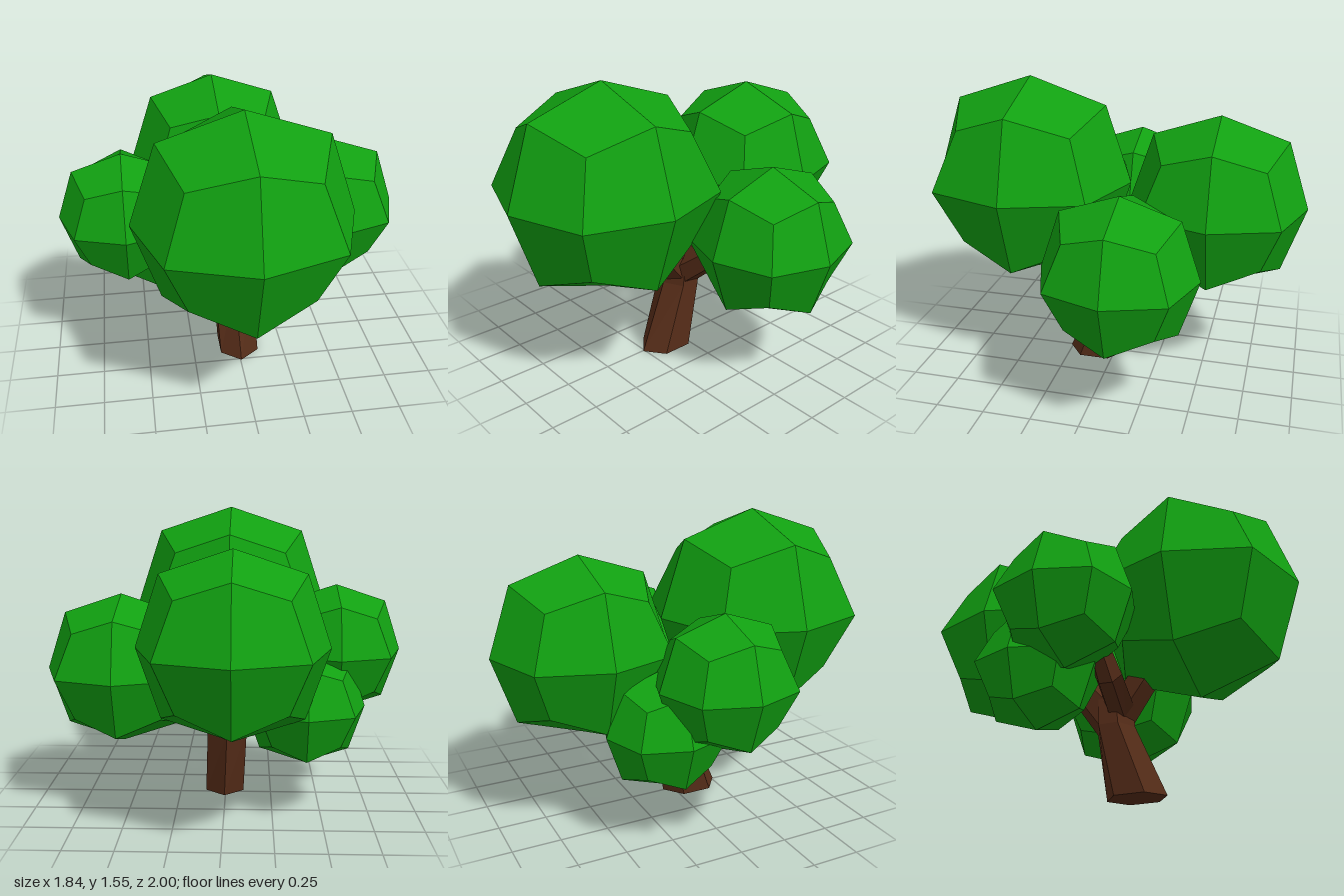
import * as THREE from 'three';

const V = (x, y, z) => new THREE.Vector3(x, y, z);

// Once-subdivided cube: 24 quads, each with one flat normal
function crownGeometry(r) {
  const pos = [], nor = [];
  const corner = 5 / 9, edge = 0.75;
  for (let axis = 0; axis < 3; axis++) {
    for (const s of [1, -1]) for (const u of [1, -1]) for (const v of [1, -1]) {
      const point = (a, b, c) => {
        const p = V();
        p.setComponent(axis, a * s * r);
        p.setComponent((axis + 1) % 3, b * u * r);
        p.setComponent((axis + 2) % 3, c * v * r);
        return p;
      };
      const quad = [point(1, 0, 0), point(edge, edge, 0), point(corner, corner, corner), point(edge, 0, edge)];
      if (s * u * v < 0) quad.reverse();
      // keep the fold running from the face centre to the cube corner
      if (s * u * v < 0) quad.unshift(quad.pop());
      const n = quad[2].clone().sub(quad[0]).cross(quad[3].clone().sub(quad[1])).normalize();
      for (const i of [0, 1, 2, 0, 2, 3]) {
        pos.push(...quad[i].toArray());
        nor.push(...n.toArray());
      }
    }
  }
  const g = new THREE.BufferGeometry();
  g.setAttribute('position', new THREE.Float32BufferAttribute(pos, 3));
  g.setAttribute('normal', new THREE.Float32BufferAttribute(nor, 3));
  return g;
}

// Six-sided limb through rings of [centre, radius x, radius z, direction]
function limbGeometry(rings) {
  const sides = 6, pos = [];
  const loops = rings.map(([c, rx, rz, dir]) => {
    const q = new THREE.Quaternion().setFromUnitVectors(V(0, 1, 0), dir.clone().normalize());
    return Array.from({ length: sides }, (_, i) => {
      const a = (i / sides) * Math.PI * 2;
      return V(Math.sin(a) * rx, 0, Math.cos(a) * rz).applyQuaternion(q).add(c);
    });
  });
  const tri = (a, b, c) => pos.push(...a.toArray(), ...b.toArray(), ...c.toArray());
  const last = loops.length - 1;
  for (let i = 0; i < sides; i++) {
    const j = (i + 1) % sides;
    for (let k = 0; k < last; k++) {
      tri(loops[k][i], loops[k][j], loops[k + 1][j]);
      tri(loops[k][i], loops[k + 1][j], loops[k + 1][i]);
    }
    tri(rings[0][0], loops[0][j], loops[0][i]);
    tri(rings[last][0], loops[last][i], loops[last][j]);
  }
  const g = new THREE.BufferGeometry();
  g.setAttribute('position', new THREE.Float32BufferAttribute(pos, 3));
  g.computeVertexNormals();
  return g;
}

export function createModel() {
  const tree = new THREE.Group();
  tree.name = 'tree';
  const leaf = new THREE.MeshStandardMaterial({ color: 0x11a011 });
  const bark = new THREE.MeshStandardMaterial({ color: 0x552c18, flatShading: true });

  const add = (name, geometry, material, position) => {
    const mesh = new THREE.Mesh(geometry, material);
    mesh.name = name;
    if (position) mesh.position.copy(position);
    tree.add(mesh);
  };

  // Foliage clumps: centre and radius
  const crowns = [
    ['frontCrown', -0.02, 1.01, 0.46, 0.54],
    ['backCrown', -0.05, 0.93, -0.535, 0.46],
    ['leftCrown', 0.53, 0.74, -0.15, 0.39],
    ['rightCrown', -0.58, 0.825, -0.02, 0.34],
    ['lowCrown', -0.41, 0.575, -0.25, 0.305],
  ];
  for (const [name, x, y, z, r] of crowns) add(name, crownGeometry(r), leaf, V(x, y, z));

  // Leaning trunk
  const up = V(0, 1, 0);
  add('trunk', limbGeometry([
    [V(0.005, 0, 0.1), 0.12, 0.16, up],
    [V(-0.01, 0.37, -0.005), 0.122, 0.105, up],
    [V(0, 0.53, -0.02), 0.11, 0.1, up],
  ]), bark);

  // Branches: path points with radii
  const branches = [
    ['frontBranch', [[0, 0.42, -0.01, 0.1], [-0.01, 0.61, 0.14, 0.09], [-0.02, 0.85, 0.32, 0.06]]],
    ['backBranch', [[0, 0.4, -0.01, 0.11], [-0.02, 0.6, -0.17, 0.09], [-0.04, 0.82, -0.38, 0.06]]],
    ['leftBranch', [[0, 0.42, -0.01, 0.1], [0.18, 0.56, -0.06, 0.085], [0.42, 0.7, -0.12, 0.06]]],
    ['rightBranch', [[0.02, 0.46, 0.02, 0.08], [-0.3, 0.54, 0.08, 0.07], [-0.42, 0.76, 0.04, 0.05]]],
  ];
  for (const [name, path] of branches) {
    const pts = path.map(([x, y, z]) => V(x, y, z));
    add(name, limbGeometry(path.map((p, i) => {
      const dir = pts[Math.min(i + 1, 2)].clone().sub(pts[Math.max(i - 1, 0)]);
      return [pts[i], p[3], p[3], dir];
    })), bark);
  }
  return tree;
}
